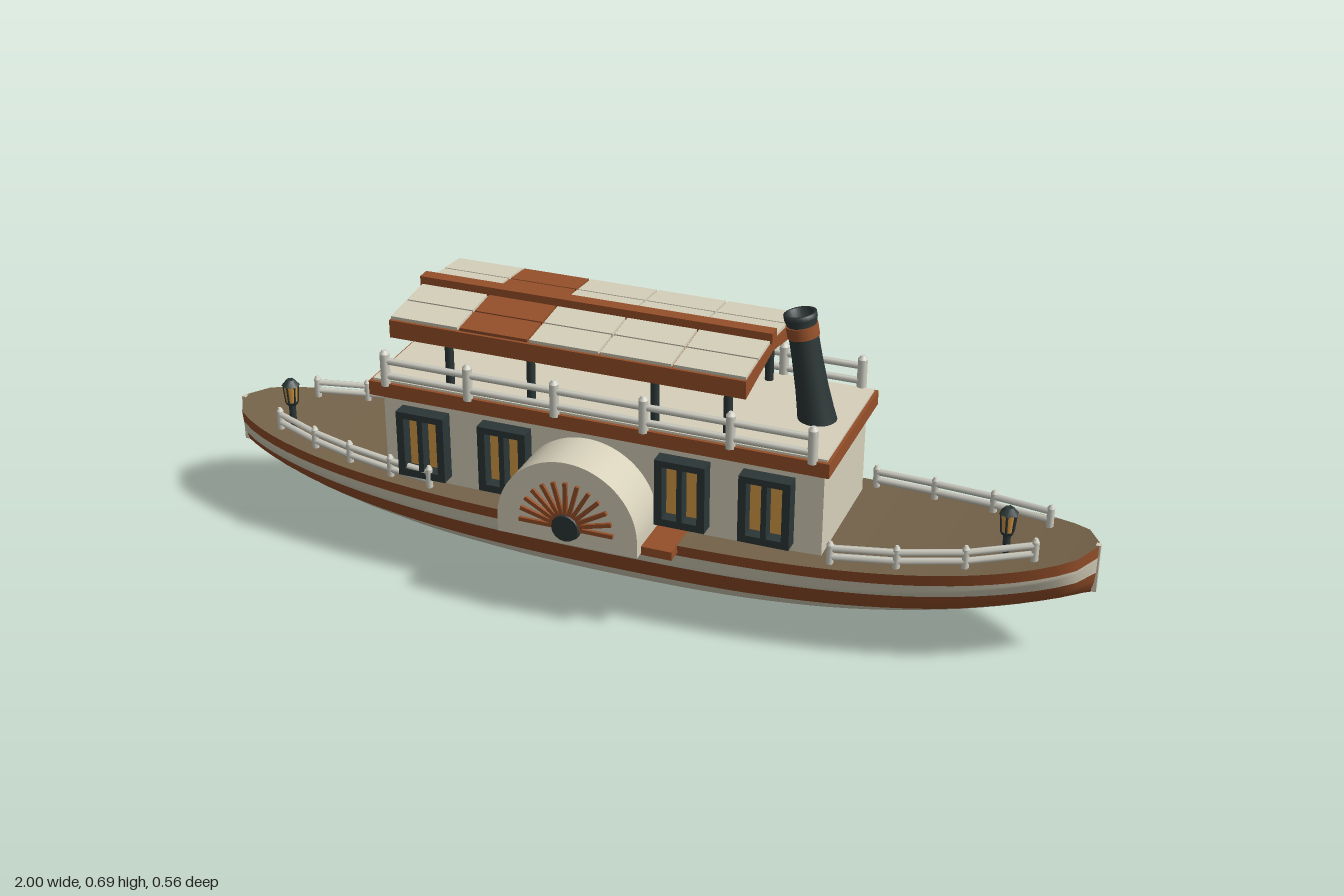
import * as THREE from 'three';

const mat = (name, color, side = THREE.FrontSide) =>
  Object.assign(new THREE.MeshStandardMaterial({ color, side }), { name });

export function createModel() {
  const cream = mat('cream paint', 0xd6d0ba);
  const brown = mat('red brown wood', 0x96502a);
  const dark = mat('dark iron', 0x2c3636);
  const tan = mat('deck planks', 0x75634a);
  const white = mat('railing white', 0xcfcfc4);
  const amber = mat('amber glass', 0xd69a45);

  const model = new THREE.Group();
  const add = (name, geo, m, parent = model, x = 0, y = 0, z = 0) => {
    const mesh = new THREE.Mesh(geo, m);
    mesh.name = name;
    mesh.position.set(x, y, z);
    parent.add(mesh);
    return mesh;
  };
  const box = (name, m, x0, x1, y0, y1, z0, z1, parent = model) =>
    add(name, new THREE.BoxGeometry(x1 - x0, y1 - y0, z1 - z0), m, parent,
      (x0 + x1) / 2, (y0 + y1) / 2, (z0 + z1) / 2);
  // Straight bar between two points
  const bar = (name, m, a, b, r, parent = model, sides = 8) => {
    const p = new THREE.Vector3(...a), q = new THREE.Vector3(...b), d = q.clone().sub(p);
    const mesh = add(name, new THREE.CylinderGeometry(r, r, d.length(), sides), m, parent);
    mesh.position.copy(p).add(q).multiplyScalar(0.5);
    mesh.quaternion.setFromUnitVectors(new THREE.Vector3(0, 1, 0), d.normalize());
    return mesh;
  };

  // Hull lines: plan width, sheer and keel along x
  const halfWidth = x => 0.214 * Math.sqrt(Math.max(0, 1 - Math.abs(x) ** 2.7));
  const sheer = x => 0.213 + (x > 0 ? 0.067 : 0.037) * Math.abs(x) ** 3.2;
  const keel = x => (x > 0 ? 0.17 : 0.14) * Math.abs(x) ** 2.4;
  const profile = [[0, 0], [0.03, 0.14], [0.086, 0.31], [0.24, 0.56], [0.43, 0.75], [0.71, 0.93], [1, 1]];
  const fullness = t => {
    const i = Math.max(1, profile.findIndex(p => p[0] >= t));
    const [t0, w0] = profile[i - 1], [t1, w1] = profile[i];
    return w0 + (w1 - w0) * (t - t0) / (t1 - t0);
  };
  const stations = [];
  for (let i = -24; i <= 24; i++) stations.push(i / 24 * 0.93);
  stations.unshift(-1, -0.965);
  stations.push(0.965, 1);

  // Surface from rows of points
  const loft = (rows, flip) => {
    const n = rows[0].length, index = [];
    for (let i = 0; i < rows.length - 1; i++) for (let j = 0; j < n - 1; j++) {
      const a = i * n + j, b = a + n, c = a + 1, d = b + 1;
      index.push(...(flip ? [a, c, b, b, c, d] : [a, b, c, b, d, c]));
    }
    const g = new THREE.BufferGeometry();
    g.setAttribute('position', new THREE.Float32BufferAttribute(rows.flat(2), 3));
    g.setIndex(index);
    g.computeVertexNormals();
    return g;
  };

  // Painted hull bands, given as depths below the sheer
  const bands = [['upperWale', brown, 0, 0.028], ['creamStripe', cream, 0.028, 0.063],
    ['lowerWale', brown, 0.063, 0.12], ['hullBottom', cream, 0.12, 1]];
  for (const side of [1, -1]) for (const [name, m, d0, d1] of bands) {
    const rows = stations.map(x => {
      const top = sheer(x), depth = top - keel(x), row = [];
      const a = Math.min(d0, depth), b = Math.min(d1, depth);
      for (let j = 0; j <= 8; j++) {
        const d = a + (b - a) * j / 8;
        const t = Math.min(1, Math.max(0, 1 - d / depth));
        row.push([x, top - d, side * halfWidth(x) * fullness(t)]);
      }
      return row;
    });
    add(name, loft(rows, side > 0), m);
  }
  add('deck', loft(stations.map(x => [-1, 1].map(s => [x, sheer(x), s * halfWidth(x)])), true), tan);
  box('bowStem', cream, 0.99, 1, 0.17, 0.28, -0.006, 0.006);
  box('sternStem', cream, -1, -0.99, 0.14, 0.25, -0.006, 0.006);

  // Cabin and upper deck
  box('cabin', cream, -0.545, 0.455, 0.2, 0.42, -0.15, 0.15);
  box('upperDeckEdge', brown, -0.565, 0.472, 0.417, 0.45, -0.178, 0.178);
  box('upperDeck', cream, -0.558, 0.465, 0.45, 0.455, -0.17, 0.17);

  // Deep window frames with recessed double panes
  const rect = (P, x0, x1, y0, y1) => new P([[x0, y0], [x1, y0], [x1, y1], [x0, y1]]
    .map(p => new THREE.Vector2(...p)));
  const frame = rect(THREE.Shape, -0.056, 0.056, 0.235, 0.39);
  frame.holes.push(rect(THREE.Path, -0.039, -0.006, 0.252, 0.375), rect(THREE.Path, 0.006, 0.039, 0.252, 0.375));
  const frameGeo = new THREE.ExtrudeGeometry(frame, { depth: 0.034, bevelEnabled: false });
  for (const side of [1, -1]) for (const x of [-0.445, -0.252, 0.153, 0.338]) {
    const win = new THREE.Group();
    win.name = 'window';
    win.position.x = x;
    win.rotation.y = side > 0 ? 0 : Math.PI;
    model.add(win);
    add('windowFrame', frameGeo, dark, win, 0, 0, 0.15);
    box('windowPanes', amber, -0.045, 0.045, 0.245, 0.38, 0.149, 0.155, win);
  }

  // Paddle boxes with a sunburst and hub
  const arch = new THREE.Shape();
  arch.moveTo(-0.159, 0.197);
  arch.lineTo(0.159, 0.197);
  arch.lineTo(0.159, 0.232);
  arch.absarc(0, 0.232, 0.159, 0, Math.PI, false);
  const archGeo = new THREE.ExtrudeGeometry(arch, { depth: 0.117, bevelEnabled: false, curveSegments: 28 });
  for (const side of [1, -1]) {
    const paddle = new THREE.Group();
    paddle.name = 'paddleBox';
    paddle.position.x = -0.067;
    paddle.rotation.y = side > 0 ? 0 : Math.PI;
    model.add(paddle);
    add('paddleHousing', archGeo, cream, paddle, 0, 0, 0.15);
    for (let i = 0; i <= 12; i++) {
      const a = Math.PI * i / 12;
      const ray = add('sunburstRay', new THREE.BoxGeometry(0.085, 0.009, 0.008), brown, paddle,
        Math.cos(a) * 0.064, 0.24 + Math.sin(a) * 0.064, 0.27);
      ray.rotation.z = a;
    }
    add('paddleHub', new THREE.CylinderGeometry(0.03, 0.034, 0.012, 16), dark, paddle, 0, 0.24, 0.272)
      .rotation.x = Math.PI / 2;
    box('sponson', brown, -0.22, 0.16, 0.194, 0.214, side > 0 ? 0.15 : -0.245, side > 0 ? 0.245 : -0.15);
  }

  // Railings: posts with pointed tops and two rails
  const railing = (name, points, height, r, rails) => {
    const group = new THREE.Group();
    group.name = name;
    model.add(group);
    points.forEach(([x, y, z], i) => {
      add('railPost', new THREE.CylinderGeometry(r, r, height, 8), white, group, x, y + height / 2, z);
      add('railPostCap', new THREE.CylinderGeometry(r * 0.45, r, 0.008, 8), white, group, x, y + height + 0.004, z);
      if (i) for (const h of rails) {
        const [px, py, pz] = points[i - 1];
        bar('rail', white, [px, py + h, pz], [x, y + h, z], 0.0075, group, 6);
      }
    });
  };
  for (const s of [1, -1]) {
    railing('upperRailing', [-0.525, -0.33, -0.13, 0.07, 0.26, 0.435].map(x => [x, 0.445, s * 0.174]),
      0.075, 0.011, [0.023, 0.058]);
    const low = xs => xs.map(x => [x, sheer(x) - 0.004, s * (halfWidth(x) - 0.022 - 0.03 * Math.abs(x) ** 3)]);
    railing('bowRailing', low([0.48, 0.615, 0.75, 0.88]), 0.048, 0.008, [0.02, 0.04]);
    railing('sternRailing', low([-0.85, -0.74, -0.64, -0.53, -0.43]), 0.048, 0.008, [0.02, 0.04]);
  }

  // Canopy: posts, shallow gable, roof panels and ridge
  for (const s of [1, -1]) for (const x of [-0.39, -0.2, 0.08, 0.24])
    bar('canopyPost', dark, [x, 0.45, s * 0.134], [x, 0.585, s * 0.134], 0.01);
  const gable = new THREE.Shape([[-0.172, 0.56], [0, 0.592], [0.172, 0.56], [0.172, 0.6], [0, 0.615], [-0.172, 0.6]]
    .map(p => new THREE.Vector2(...p)));
  add('canopyFrame', new THREE.ExtrudeGeometry(gable, { depth: 0.8, bevelEnabled: false }), brown, model, -0.51)
    .rotation.y = Math.PI / 2;
  for (const s of [1, -1]) for (let i = 0; i < 5; i++) for (const z of [0.053, 0.13]) {
    const panel = add('roofPanel', new THREE.BoxGeometry(0.155, 0.009, 0.073), i === 1 ? brown : cream, model,
      -0.43 + i * 0.16, 0.6175 - z * 0.087, s * z);
    panel.rotation.x = s * 0.087;
  }
  box('ridgeBeam', brown, -0.513, 0.292, 0.612, 0.637, -0.015, 0.015);

  // Raked funnel
  const funnel = new THREE.Group();
  funnel.name = 'funnel';
  funnel.position.set(0.39, 0.452, 0);
  funnel.rotation.z = 0.19;
  model.add(funnel);
  const lathe = (pts, seg = 24) => new THREE.LatheGeometry(pts.map(p => new THREE.Vector2(...p)), seg);
  add('funnelPipe', lathe([[0.042, -0.005], [0.039, 0.02], [0.035, 0.07], [0.032, 0.14], [0.031, 0.215],
    [0.035, 0.23], [0.035, 0.24], [0.027, 0.24], [0.025, 0.22], [0, 0.22]]), dark, funnel);
  add('funnelBand', new THREE.CylinderGeometry(0.034, 0.034, 0.026, 24), brown, funnel, 0, 0.202, 0);

  // Deck lanterns
  for (const [x, z] of [[-0.83, 0.065], [0.815, 0.043]]) {
    const lantern = new THREE.Group();
    lantern.name = 'lantern';
    lantern.position.set(x, 0, z);
    model.add(lantern);
    bar('lanternPost', dark, [0, sheer(x) - 0.01, 0], [0, 0.295, 0], 0.008, lantern);
    add('lanternGlass', new THREE.CylinderGeometry(0.017, 0.013, 0.045, 6), amber, lantern, 0, 0.316, 0);
    add('lanternBase', new THREE.CylinderGeometry(0.016, 0.012, 0.008, 6), dark, lantern, 0, 0.293, 0);
    add('lanternCap', new THREE.CylinderGeometry(0.009, 0.021, 0.014, 6), dark, lantern, 0, 0.345, 0);
    for (let i = 0; i < 6; i++) {
      const c = Math.sin(i * Math.PI / 3), d = Math.cos(i * Math.PI / 3);
      bar('lanternBar', dark, [c * 0.013, 0.295, d * 0.013], [c * 0.017, 0.339, d * 0.017], 0.0025, lantern, 4);
    }
  }
  return model;
}
